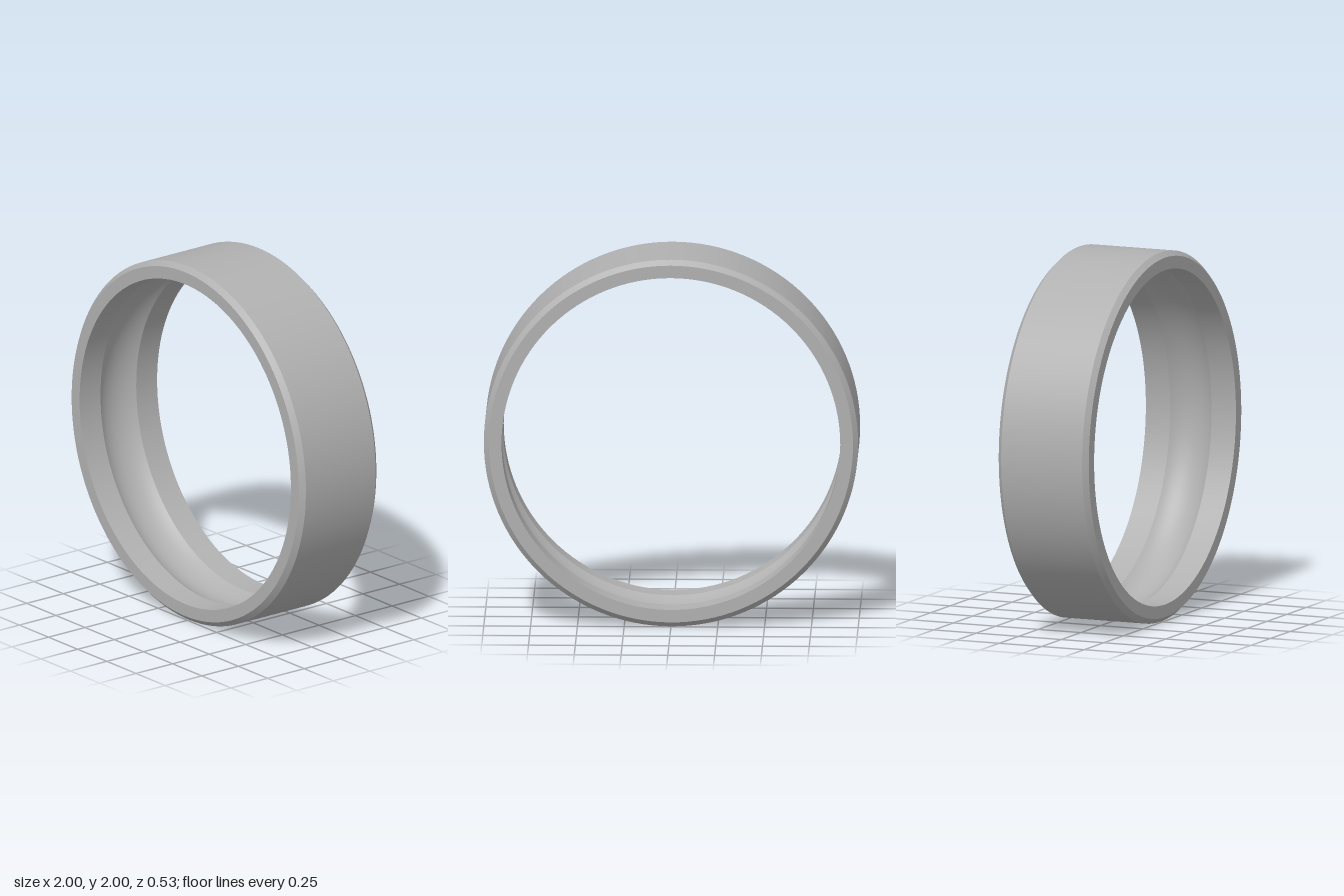
import * as THREE from 'three';
import { toCreasedNormals } from 'three/addons/utils/BufferGeometryUtils.js';

const OUTER = 1, INNER = 0.905, HALF = 0.265, CHAMFER = 0.027;
const GROOVE_HALF = 0.122, GROOVE_DEPTH = 0.04;

export function createModel() {
  const steel = new THREE.MeshStandardMaterial({ color: 0xb0b0b0 });
  steel.name = 'steel grey';

  // Closed cross-section (radius, axis): outer wall, chamfers, end faces
  const profile = [
    [INNER, -HALF], [OUTER - CHAMFER, -HALF], [OUTER, -HALF + CHAMFER],
    [OUTER, HALF - CHAMFER], [OUTER - CHAMFER, HALF], [INNER, HALF],
  ].map(([r, a]) => new THREE.Vector2(r, a));

  // Bore with a circular-arc ball groove around its middle
  const arcRadius = (GROOVE_HALF ** 2 + GROOVE_DEPTH ** 2) / (2 * GROOVE_DEPTH);
  const arcCentre = INNER + GROOVE_DEPTH - arcRadius;
  const sweep = Math.asin(GROOVE_HALF / arcRadius);
  const steps = 16;
  for (let i = 0; i <= steps; i++) {
    const t = sweep * (1 - (2 * i) / steps);
    profile.push(new THREE.Vector2(arcCentre + arcRadius * Math.cos(t), arcRadius * Math.sin(t)));
  }
  profile.push(profile[0].clone());

  // Revolve, then lay the axis along z and stand the ring on the ground
  const geometry = toCreasedNormals(new THREE.LatheGeometry(profile, 128), 0.4);
  geometry.rotateX(Math.PI / 2);
  const ring = new THREE.Mesh(geometry, steel);
  ring.name = 'bearingOuterRing';
  ring.position.y = OUTER;

  const group = new THREE.Group();
  group.name = 'groovedRing';
  group.add(ring);
  return group;
}
